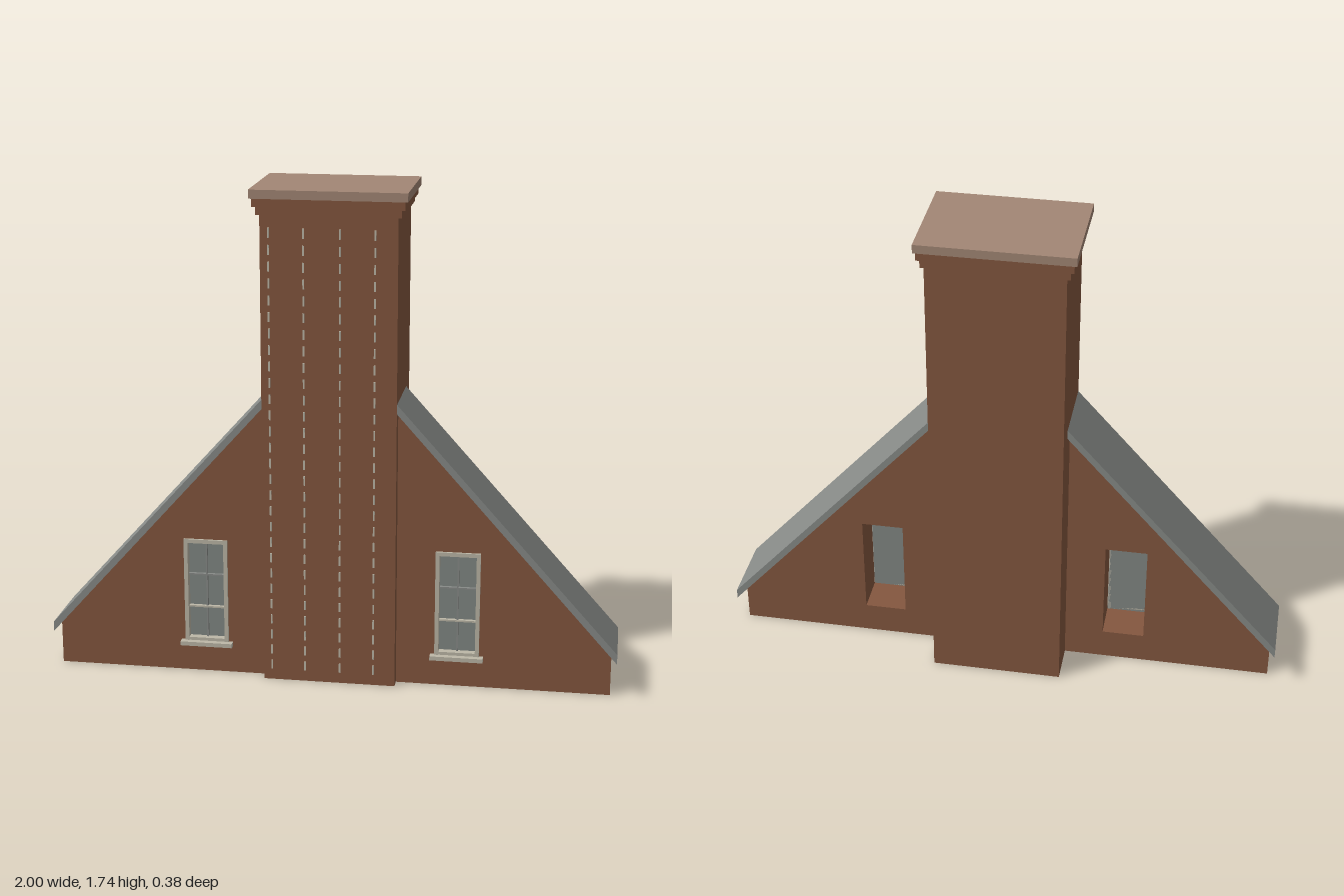
import * as THREE from 'three';

const mat = (name, color) => {
  const m = new THREE.MeshStandardMaterial({ color });
  m.name = name;
  return m;
};

export function createModel() {
  const brick = mat('brick', 0x84573f);
  const slate = mat('slate', 0x888b88);
  const stone = mat('capStone', 0xa38775);
  const trim = mat('windowTrim', 0xbdb8a8);
  const glass = mat('glass', 0x828884);
  const model = new THREE.Group();
  model.name = 'chimneyGable';

  // Box given by its lower and upper bounds
  const box = (parent, name, m, x0, x1, y0, y1, z0, z1) => {
    const mesh = new THREE.Mesh(new THREE.BoxGeometry(x1 - x0, y1 - y0, z1 - z0), m);
    mesh.position.set((x0 + x1) / 2, (y0 + y1) / 2, (z0 + z1) / 2);
    mesh.name = name;
    parent.add(mesh);
    return mesh;
  };
  const points = (s, list) => list.map(([x, y]) => new THREE.Vector2(s * x, y));
  const slab = (name, m, shape, z0, z1) => {
    const geometry = new THREE.ExtrudeGeometry(shape, { depth: z1 - z0, bevelEnabled: false });
    const mesh = new THREE.Mesh(geometry, m);
    mesh.position.z = z0;
    mesh.name = name;
    model.add(mesh);
  };

  // Chimney stack with stepped courses and a cap
  box(model, 'chimneyStack', brick, -0.232, 0.232, 0, 1.66, -0.18, 0.17);
  box(model, 'lowerCourse', brick, -0.244, 0.244, 1.655, 1.682, -0.186, 0.178);
  box(model, 'upperCourse', brick, -0.256, 0.256, 1.682, 1.71, -0.19, 0.184);
  box(model, 'chimneyCap', stone, -0.265, 0.265, 1.71, 1.74, -0.195, 0.19);

  // Dashed pale joints down the front of the stack
  const joints = new THREE.Group();
  joints.name = 'frontJoints';
  model.add(joints);
  for (const x of [-0.203, -0.085, 0.038, 0.156])
    for (let y = 0.04; y < 1.59; y += 0.057)
      box(joints, 'joint', trim, x - 0.003, x + 0.003, y, y + 0.033, 0.168, 0.174);

  // Gable halves, each with a window and a sloping roof
  for (const s of [1, -1]) {
    const side = s > 0 ? 'left' : 'right';
    const wall = new THREE.Shape(points(s, [[0.2, 0], [0.98, 0], [0.98, 0.153], [0.232, 0.988], [0.2, 0.988]]));
    wall.holes.push(new THREE.Path(points(s, [[0.37, 0.112], [0.37, 0.49], [0.52, 0.49], [0.52, 0.112]])));
    slab(side + 'GableWall', brick, wall, -0.03, 0.13);
    slab(side + 'Roof', slate,
      new THREE.Shape(points(s, [[0.228, 0.993], [1, 0.13], [1, 0.165], [0.228, 1.026]])), -0.09, 0.165);

    // Window centred on its own x
    const win = new THREE.Group();
    win.name = side + 'Window';
    win.position.x = s * 0.445;
    model.add(win);
    box(win, 'pane', glass, -0.074, 0.074, 0.113, 0.489, 0.106, 0.111);
    box(win, 'sill', trim, -0.093, 0.093, 0.1, 0.115, 0.115, 0.156);
    box(win, 'frameHead', trim, -0.078, 0.078, 0.481, 0.495, 0.106, 0.138);
    box(win, 'frameFoot', trim, -0.066, 0.066, 0.115, 0.126, 0.106, 0.136);
    for (const k of [-1, 1])
      box(win, 'frameJamb', trim, k * 0.071 - 0.007, k * 0.071 + 0.007, 0.113, 0.482, 0.106, 0.138);
    box(win, 'meetingRail', trim, -0.066, 0.066, 0.237, 0.243, 0.111, 0.124);
    box(win, 'glazingBar', slate, -0.066, 0.066, 0.357, 0.363, 0.111, 0.122);
    box(win, 'glazingBar', slate, -0.003, 0.003, 0.126, 0.481, 0.111, 0.121);
  }
  return model;
}
